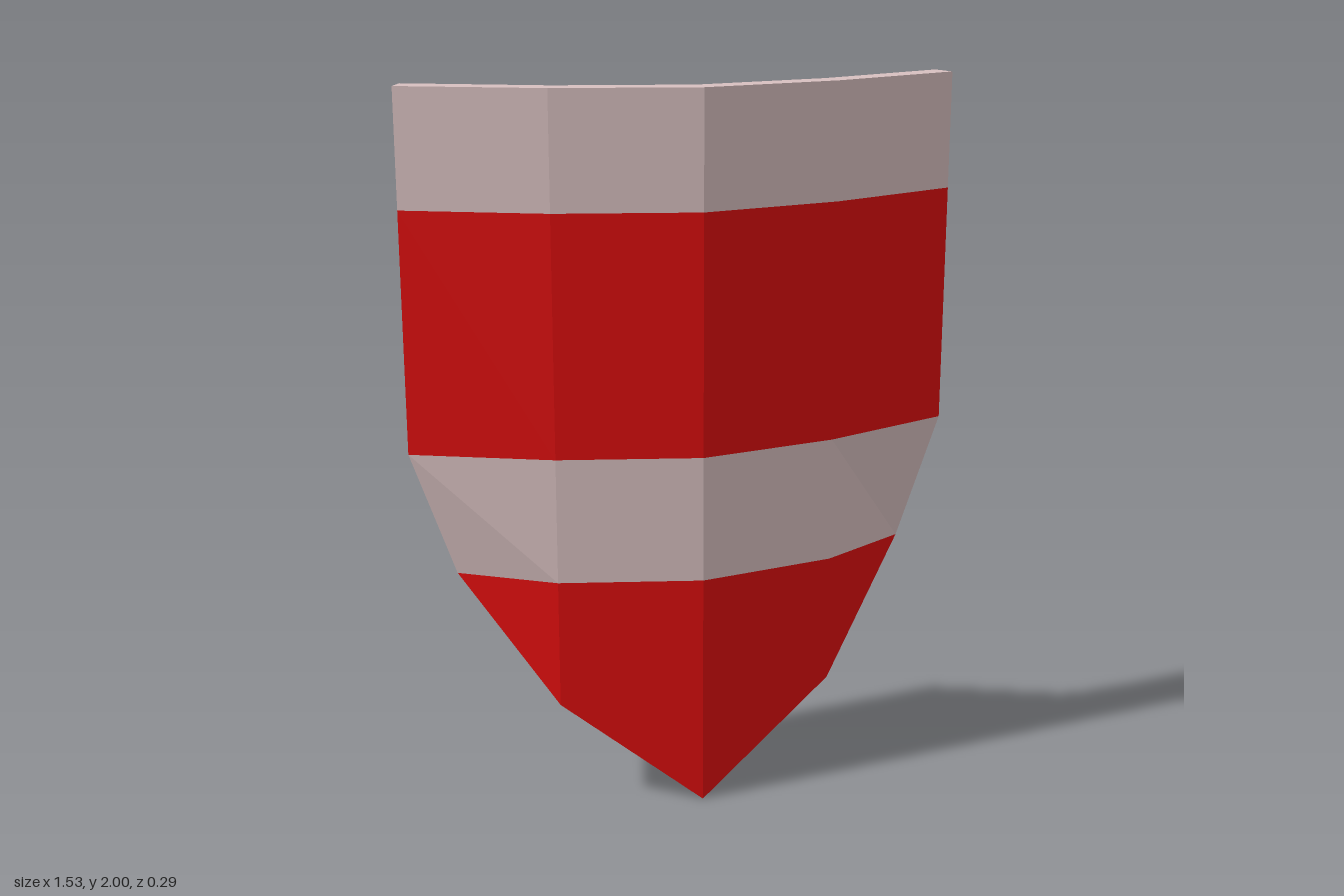
import * as THREE from 'three';

// Curved cross-section, from the right edge to the left: outer and inner faces
const frontZ = [-0.083, 0.066, 0.145, 0.066, -0.083];
const backZ = [-0.147, 0.002, 0.076, 0.002, -0.147];

// A row of the shield: edge half-width plus a height for the edge, fold and centre
function row(edge, yEdge, yFold = yEdge, yMid = yEdge) {
  const ys = [yEdge, yFold, yMid, yFold, yEdge];
  const front = [-edge, -0.39, 0, 0.39, edge];
  const back = [-edge + 0.026, -0.37, 0, 0.37, edge - 0.026];
  return {
    front: front.map((x, i) => new THREE.Vector3(x, ys[i], frontZ[i])),
    back: back.map((x, i) => new THREE.Vector3(x, ys[i], backZ[i])),
  };
}

// One painted band between two rows, closed at the sides and optionally capped
function bandGeometry(top, bottom, capTop, capBottom) {
  const pos = [];
  const tri = (a, b, c) => {
    if (new THREE.Triangle(a, b, c).getArea() < 1e-6) return;
    for (const p of [a, b, c]) pos.push(p.x, p.y, p.z);
  };
  const quad = (a, b, c, d) => { tri(a, b, c); tri(a, c, d); };
  for (let i = 0; i < 4; i++) {
    const j = i + 1;
    quad(top.front[i], bottom.front[i], bottom.front[j], top.front[j]);
    quad(top.back[j], bottom.back[j], bottom.back[i], top.back[i]);
    if (capTop) quad(top.front[i], top.front[j], top.back[j], top.back[i]);
    if (capBottom) quad(bottom.front[j], bottom.front[i], bottom.back[i], bottom.back[j]);
  }
  quad(top.back[0], bottom.back[0], bottom.front[0], top.front[0]);
  quad(top.front[4], bottom.front[4], bottom.back[4], top.back[4]);
  const geometry = new THREE.BufferGeometry();
  geometry.setAttribute('position', new THREE.Float32BufferAttribute(pos, 3));
  geometry.computeVertexNormals();
  return geometry;
}

export function createModel() {
  const red = new THREE.MeshStandardMaterial({ color: 0xdd0e0e });
  red.name = 'red paint';
  const pale = new THREE.MeshStandardMaterial({ color: 0xd8c0c0 });
  pale.name = 'pale paint';

  // Rows from the top edge down to the pointed tip
  const rows = [
    row(0.766, 2),
    row(0.766, 1.68),
    row(0.766, 1.015),
    row(0.645, 0.663),
    row(0.645, 0.663, 0.3, 0),
  ];
  const names = ['topBand', 'upperRedBand', 'middleBand', 'pointedTip'];

  const shield = new THREE.Group();
  shield.name = 'shield';
  names.forEach((name, i) => {
    const geometry = bandGeometry(rows[i], rows[i + 1], i === 0, i === 3);
    const mesh = new THREE.Mesh(geometry, i % 2 ? red : pale);
    mesh.name = name;
    shield.add(mesh);
  });
  return shield;
}
